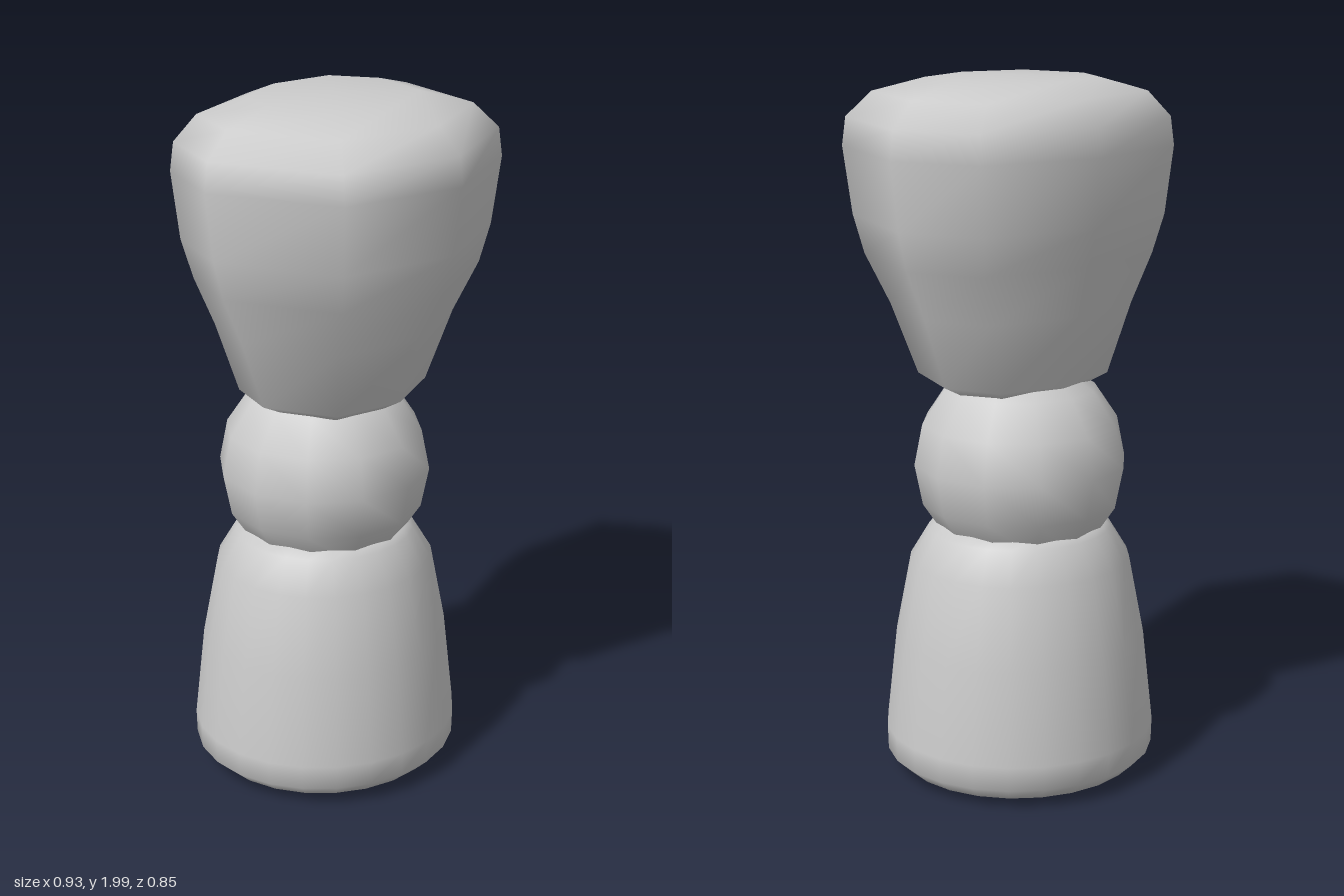
import * as THREE from 'three';

// Closed, smooth loft: rings are [y, halfWidth, frontZ, backZ, sideZ];
// section is a loop of unit points [x, z] running front -> right side of +x -> back.
function loft(rings, section) {
  const n = section.length, pos = [], idx = [];
  for (const [y, w, zf, zb, zs] of rings) {
    for (const [u, v] of section) {
      pos.push(u * w, y, zs + (v > 0 ? v * (zf - zs) : v * (zs - zb)));
    }
  }
  for (let r = 0; r < rings.length - 1; r++) {
    for (let i = 0; i < n; i++) {
      const a = r * n + i, b = r * n + (i + 1) % n;
      idx.push(a, b, b + n, a, b + n, a + n);
    }
  }
  // caps at both ends
  [0, rings.length - 1].forEach((r, end) => {
    const [y, , zf, zb] = rings[r], c = pos.length / 3;
    pos.push(0, y + (end ? 0.006 : -0.003), (zf + zb) / 2);
    for (let i = 0; i < n; i++) {
      const a = r * n + i, b = r * n + (i + 1) % n;
      if (end) idx.push(a, b, c); else idx.push(b, a, c);
    }
  });
  const g = new THREE.BufferGeometry();
  g.setAttribute('position', new THREE.Float32BufferAttribute(pos, 3));
  g.setIndex(idx);
  g.computeVertexNormals();
  return g;
}

export function createModel() {
  const group = new THREE.Group();
  const mat = new THREE.MeshStandardMaterial({ color: 0xcccccc });
  const add = (name, geo) => {
    const m = new THREE.Mesh(geo, mat);
    m.name = name;
    group.add(m);
    return m;
  };

  // round, slightly tapering base
  const circle = Array.from({ length: 24 }, (_, i) => {
    const a = i / 24 * Math.PI * 2;
    return [Math.sin(a), Math.cos(a)];
  });
  const baseProfile = [
    [0.003, 0.24], [0.02, 0.35], [0.06, 0.393], [0.13, 0.395], [0.4, 0.365],
    [0.63, 0.32], [0.72, 0.265], [0.745, 0.235], [0.755, 0.15],
  ];
  add('base', loft(baseProfile.map(([y, w]) => [y, w, -0.04 + w * 0.965, -0.04 - w * 0.965, -0.04]), circle));

  // ball joint between the two halves
  add('ball', new THREE.SphereGeometry(0.305, 12, 8)).position.set(0, 0.91, -0.042);

  // eight-sided head that widens upward
  const octagon = [[0, 1], [0.75, 0.76], [1, 0], [0.75, -0.74], [0, -1], [-0.75, -0.74], [-1, 0], [-0.75, 0.76]];
  const headProfile = [
    [1.125, 0.2, 0.17, -0.18], [1.16, 0.27, 0.23, -0.235], [1.36, 0.345, 0.3, -0.28],
    [1.5, 0.41, 0.37, -0.32], [1.61, 0.44, 0.4, -0.35], [1.8, 0.465, 0.424, -0.367],
    [1.88, 0.455, 0.414, -0.358], [1.95, 0.385, 0.345, -0.31], [1.988, 0.24, 0.21, -0.215],
  ];
  add('head', loft(headProfile.map(([y, w, f, b]) => [y, w, f, b, b * 0.16]), octagon));

  return group;
}
